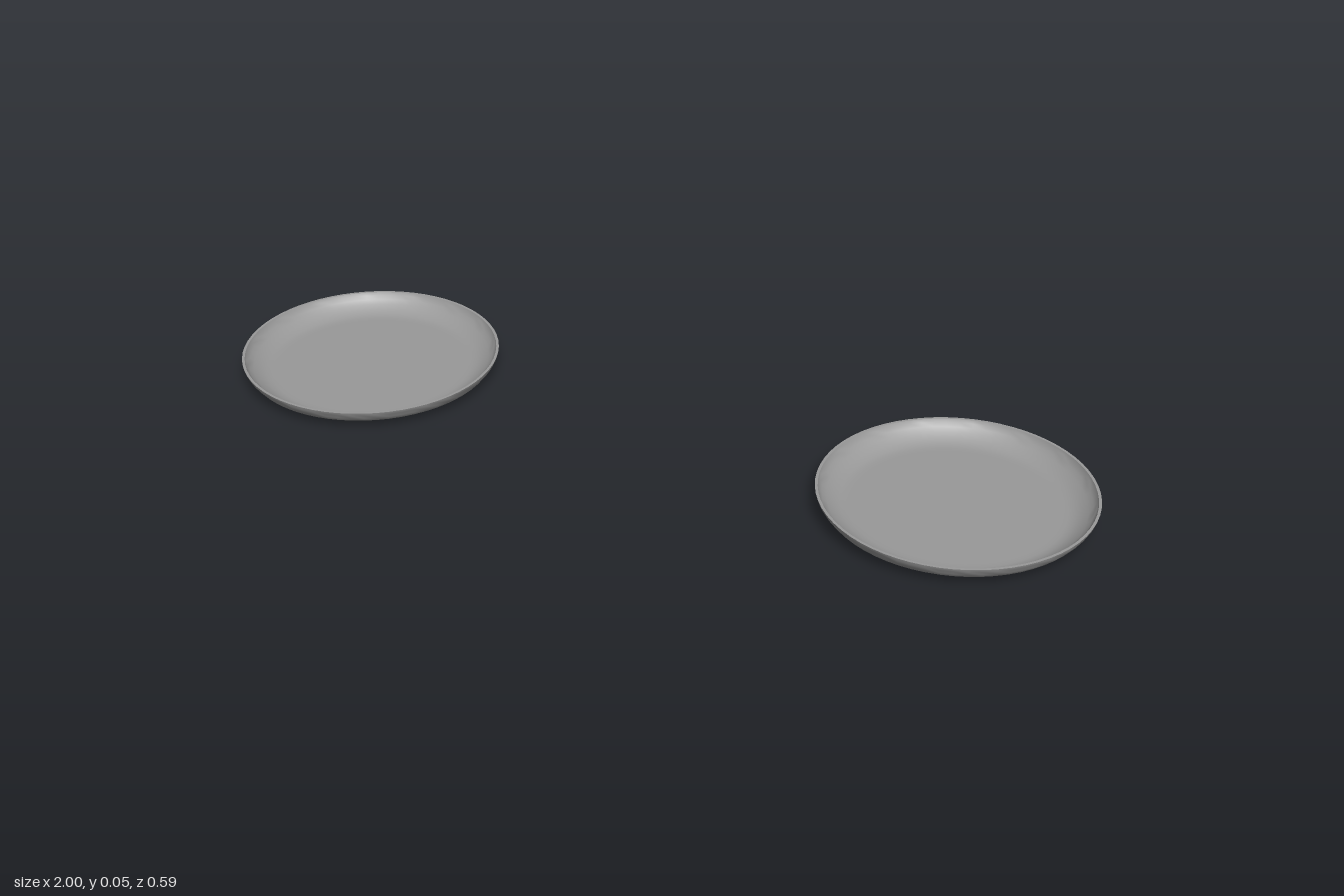
import * as THREE from 'three';
import { toCreasedNormals } from 'three/addons/utils/BufferGeometryUtils.js';

// Half cross-section: underside, outer wall, thin rim, inner wall, floor
const PROFILE = [
  [0, 0], [0.22, 0], [0.234, 0.001], [0.246, 0.004], [0.262, 0.011], [0.278, 0.02],
  [0.287, 0.031], [0.292, 0.04], [0.294, 0.047],
  [0.288, 0.047], [0.285, 0.04], [0.279, 0.032], [0.269, 0.024],
  [0.256, 0.016], [0.242, 0.01], [0.229, 0.008], [0.215, 0.008], [0, 0.008],
];

export function createModel() {
  const group = new THREE.Group();
  group.name = 'platePair';

  const material = new THREE.MeshStandardMaterial({ color: 0x999999 });
  const points = PROFILE.map(([r, y]) => new THREE.Vector2(r, y));
  const geometry = toCreasedNormals(new THREE.LatheGeometry(points, 64), 0.9);

  // Two identical shallow plates, side by side
  for (const [name, side] of [['leftPlate', 1], ['rightPlate', -1]]) {
    const plate = new THREE.Mesh(geometry, material);
    plate.name = name;
    plate.position.x = side * 0.706;
    group.add(plate);
  }
  return group;
}
